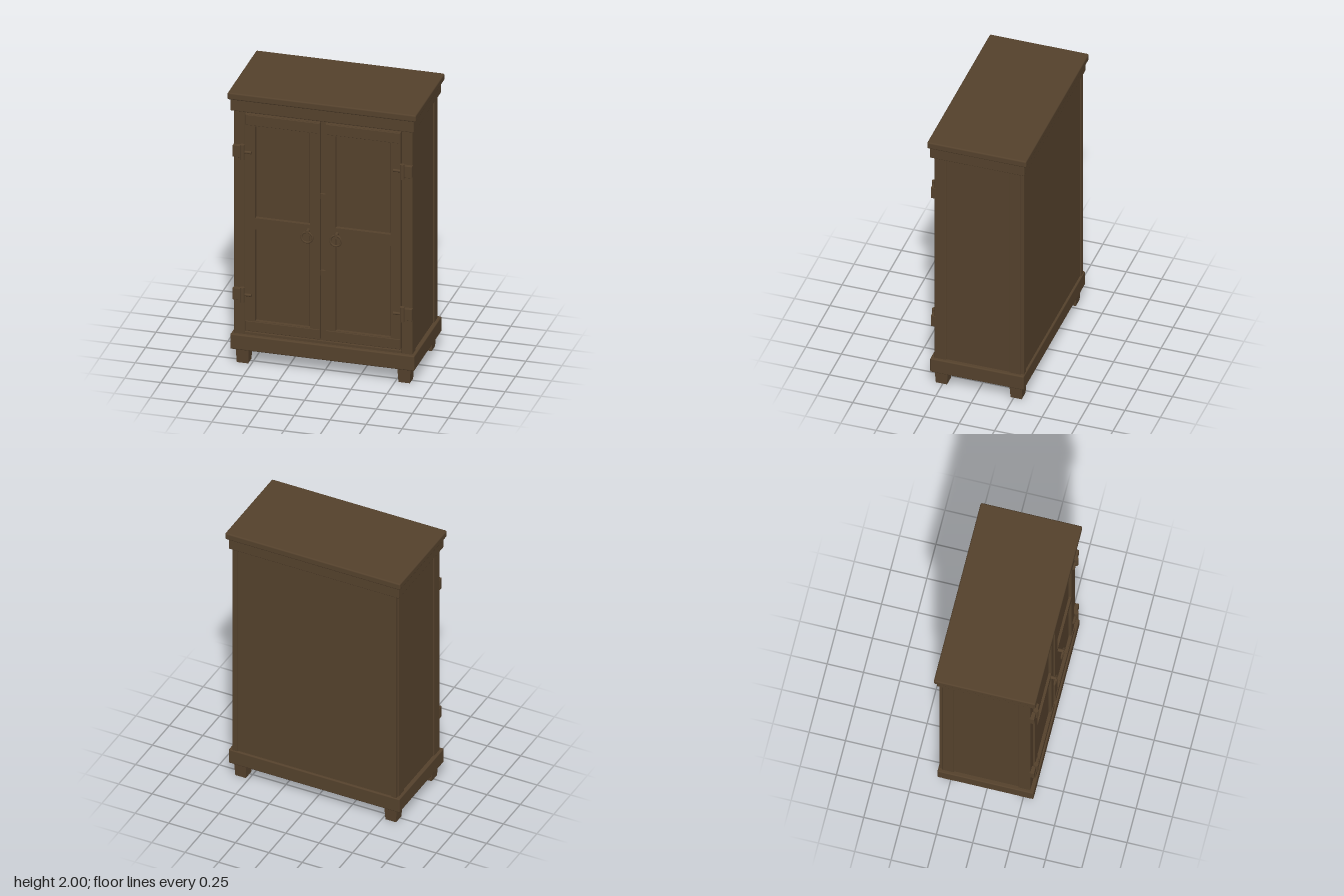
import * as THREE from 'three';
import { RoundedBoxGeometry } from 'three/addons/geometries/RoundedBoxGeometry.js';

const wood = new THREE.MeshStandardMaterial({ color: 0x54412c });
wood.name = 'dark brown wood';

export function createModel() {
  const cabinet = new THREE.Group();
  cabinet.name = 'cabinet';

  const add = (name, geometry, parent = cabinet) => {
    const mesh = new THREE.Mesh(geometry, wood);
    mesh.name = name;
    parent.add(mesh);
    return mesh;
  };
  // Box given by its limits; a bevel rounds the edges
  const block = (name, [x0, x1], [y0, y1], [z0, z1], bevel = 0, parent = cabinet) => {
    const size = [x1 - x0, y1 - y0, z1 - z0];
    const geo = bevel ? new RoundedBoxGeometry(...size, 2, bevel) : new THREE.BoxGeometry(...size);
    geo.translate((x0 + x1) / 2, (y0 + y1) / 2, (z0 + z1) / 2);
    return add(name, geo, parent);
  };
  const span = (s, a, b) => (s > 0 ? [a, b] : [-b, -a]);

  // Plinth, carcass, cornice and top board
  block('plinth', [-0.64, 0.64], [0.105, 0.215], [-0.333, 0.328], 0.008);
  block('carcass', [-0.612, 0.612], [0.2, 1.88], [-0.318, 0.285]);
  block('cornice', [-0.637, 0.637], [1.865, 1.955], [-0.336, 0.33], 0.006);
  block('topBoard', [-0.655, 0.655], [1.95, 2], [-0.355, 0.344], 0.01);
  block('lowerFrontRail', [-0.545, 0.545], [0.21, 0.232], [0.28, 0.302]);
  block('upperFrontRail', [-0.545, 0.545], [1.85, 1.87], [0.28, 0.302]);

  // Latch blocks in the gap between the doors
  for (const y of [0.735, 1.3]) block('latchBlock', [-0.02, 0.02], [y - 0.018, y + 0.018], [0.28, 0.303]);

  // Tapered foot, narrower at the floor
  const footGeometry = () => {
    const geo = new THREE.BoxGeometry(0.092, 0.11, 0.092);
    const p = geo.attributes.position;
    for (let i = 0; i < p.count; i++) {
      if (p.getY(i) < 0) p.setXYZ(i, p.getX(i) * 0.86, p.getY(i), p.getZ(i) * 0.86);
    }
    geo.computeVertexNormals();
    return geo;
  };

  // Door frame outline with two panel openings, built for the +x side
  const rect = (Type, x0, x1, y0, y1) => {
    const s = new Type();
    s.moveTo(x0, y0);
    s.lineTo(x1, y0);
    s.lineTo(x1, y1);
    s.lineTo(x0, y1);
    s.closePath();
    return s;
  };
  const panels = [[0.325, 1.003], [1.085, 1.762]];

  for (const s of [-1, 1]) {
    const side = s > 0 ? 'left' : 'right';

    // Corner posts and feet
    block(side + 'FrontPost', span(s, 0.545, 0.62), [0.21, 1.87], [0.22, 0.302], 0.004);
    block(side + 'BackPost', span(s, 0.56, 0.62), [0.21, 1.87], [-0.305, -0.225], 0.004);
    block(side + 'BackStrip', span(s, 0.575, 0.612), [0.21, 1.87], [-0.327, -0.31], 0.003);
    for (const z of [0.26, -0.267]) add(side + 'Foot', footGeometry()).position.set(s * 0.562, 0.055, z);

    const door = new THREE.Group();
    door.name = side + 'Door';
    cabinet.add(door);

    // Door frame
    const outline = rect(THREE.Shape, ...span(s, 0.02, 0.54), 0.248, 1.845);
    for (const [y0, y1] of panels) outline.holes.push(rect(THREE.Path, ...span(s, 0.088, 0.47), y0, y1));
    add('doorFrame', new THREE.ExtrudeGeometry(outline, { depth: 0.03, bevelEnabled: false }), door).position.z = 0.284;

    // Raised rails and sunken panels
    block('topRail', span(s, 0.022, 0.538), [1.768, 1.843], [0.3, 0.319], 0.003, door);
    block('bottomRail', span(s, 0.022, 0.538), [0.25, 0.322], [0.3, 0.319], 0.003, door);
    for (const [y0, y1] of panels) {
      block('doorPanel', span(s, 0.095, 0.463), [y0 + 0.007, y1 - 0.007], [0.28, 0.297], 0, door);
    }

    // Ring pull with its mount
    const ring = add('ringPull', new THREE.TorusGeometry(0.038, 0.007, 8, 28), door);
    ring.position.set(s * 0.1, 1.007, 0.347);
    const mount = add('ringMount', new THREE.CylinderGeometry(0.011, 0.013, 0.045, 12), door);
    mount.rotation.x = Math.PI / 2;
    mount.position.set(s * 0.1, 1.047, 0.332);

    // Hinges: post plate, knuckle and door pin
    for (const y of [0.515, 1.568]) {
      const hinge = new THREE.Group();
      hinge.name = side + 'Hinge';
      cabinet.add(hinge);
      block('hingePlate', span(s, 0.568, 0.623), [y - 0.043, y + 0.043], [0.295, 0.328], 0.003, hinge);
      const knuckle = add('hingeKnuckle', new THREE.CylinderGeometry(0.016, 0.016, 0.108, 12), hinge);
      knuckle.position.set(s * 0.556, y, 0.326);
      const pin = add('hingePin', new THREE.CylinderGeometry(0.011, 0.009, 0.05, 10), hinge);
      pin.rotation.z = s * Math.PI / 2;
      pin.position.set(s * 0.518, y, 0.321);
    }
  }
  return cabinet;
}
